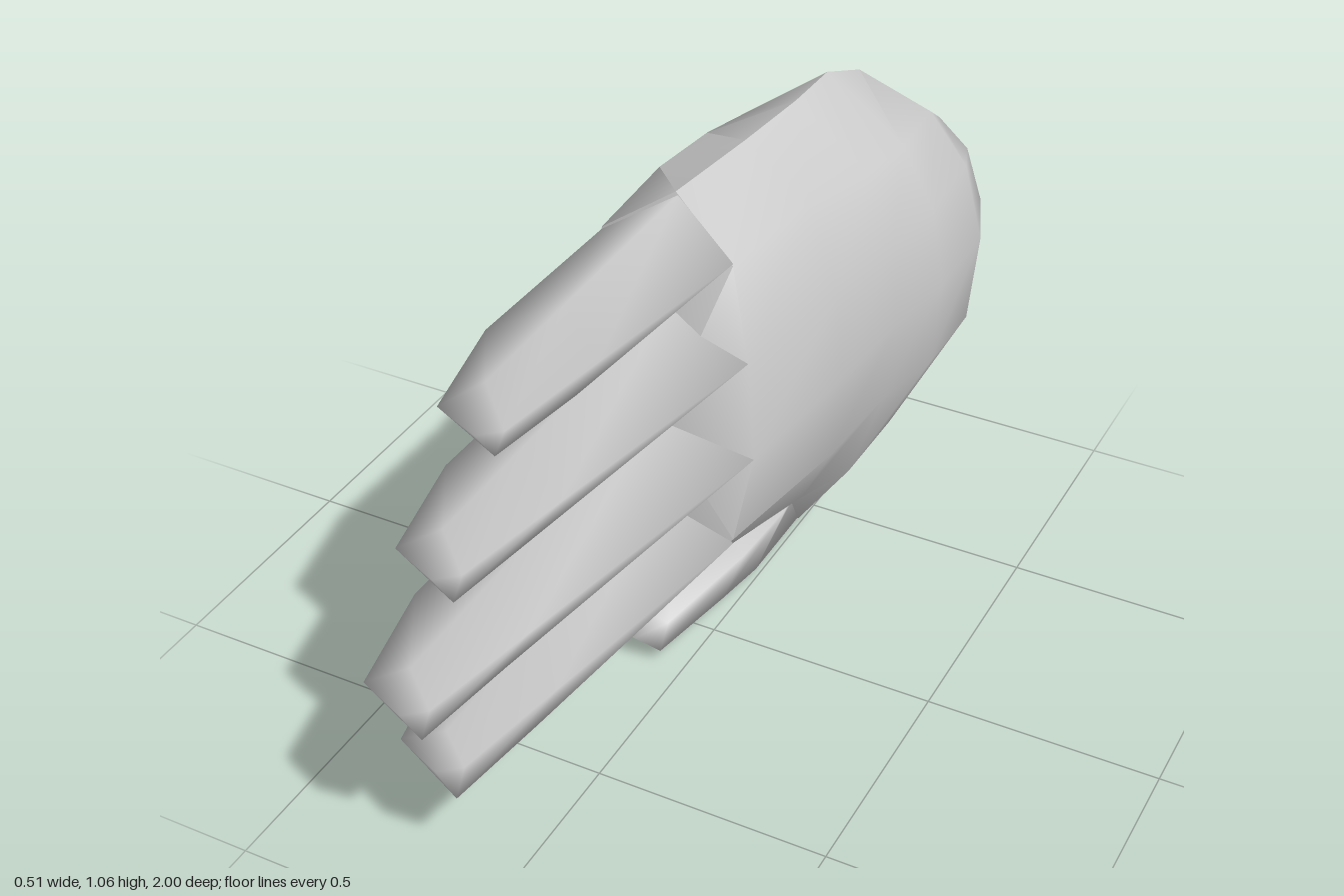
import * as THREE from 'three';
import { toCreasedNormals } from 'three/addons/utils/BufferGeometryUtils.js';

const material = new THREE.MeshStandardMaterial({ color: 0xcccccc });

// Skin a closed body over rings (front to back, clockwise seen from the front),
// closed at each end by a fan to an apex point.
function loft(rings, front, back) {
  const n = rings[0].length;
  const last = (rings.length - 1) * n;
  const points = [...rings.flat(), front, back];
  const a = rings.length * n, b = a + 1;
  const index = [];
  for (let j = 0; j < n; j++) {
    const k = (j + 1) % n;
    index.push(a, k, j);
    for (let i = 0; i < last; i += n) {
      index.push(i + j, i + k, i + n + j, i + k, i + n + k, i + n + j);
    }
    index.push(b, last + j, last + k);
  }
  const geometry = new THREE.BufferGeometry();
  geometry.setAttribute('position', new THREE.Float32BufferAttribute(points.flat(), 3));
  geometry.setIndex(index);
  geometry.computeVertexNormals();
  return geometry;
}

const atZ = (z, ring) => ring.map(([x, y]) => [x, y, z]);

// The knuckle line leans back towards the top
const knuckleZ = (y) => 0.06 - 0.1 * (y - 0.32);

function palmGeometry() {
  const knuckles = [[-0.25, 0.94], [-0.09, 1.055], [0.04, 0.93], [0.085, 0.73], [0.11, 0.52],
    [0.075, 0.32], [0, 0.23], [-0.08, 0.19], [-0.23, 0.3], [-0.25, 0.62]];
  const rings = [
    knuckles.map(([x, y]) => [x, y, knuckleZ(y)]),
    atZ(-0.25, [[-0.255, 0.95], [-0.06, 1.06], [0.08, 0.95], [0.15, 0.76], [0.17, 0.56],
      [0.15, 0.36], [0.08, 0.22], [-0.04, 0.1], [-0.21, 0.12], [-0.24, 0.6]]),
    atZ(-0.44, [[-0.245, 0.94], [-0.04, 1.065], [0.13, 0.94], [0.19, 0.78], [0.21, 0.6],
      [0.185, 0.4], [0.11, 0.18], [-0.01, 0.005], [-0.205, 0.075], [-0.235, 0.58]]),
    atZ(-0.59, [[-0.23, 0.92], [-0.04, 1.062], [0.14, 0.93], [0.215, 0.8], [0.245, 0.62],
      [0.23, 0.42], [0.14, 0.23], [0, 0.1], [-0.19, 0.16], [-0.23, 0.57]]),
    atZ(-0.78, [[-0.18, 0.87], [-0.05, 0.98], [0.12, 0.92], [0.21, 0.81], [0.255, 0.64],
      [0.235, 0.43], [0.15, 0.29], [0.02, 0.24], [-0.13, 0.28], [-0.19, 0.57]]),
    atZ(-0.94, [[-0.1, 0.76], [-0.03, 0.83], [0.08, 0.82], [0.15, 0.76], [0.19, 0.64],
      [0.165, 0.5], [0.1, 0.43], [0.02, 0.42], [-0.07, 0.47], [-0.12, 0.62]]),
  ];
  return toCreasedNormals(loft(rings, [-0.06, 0.6, 0.12], [0.05, 0.63, -1]), 1.05);
}

// Diamond-section finger: y is the ridge height, low/high the neighbouring webs
function fingerGeometry({ y, low, high, tip, baseX }) {
  const end = tip - 0.045, mid = end - 0.25, base = knuckleZ(y);
  const endX = -0.06;
  const midX = THREE.MathUtils.lerp(baseX, endX, (mid - base) / (end - base));
  const rings = [
    [[-0.205, y, end], [-0.1, high - 0.035, end], [endX, y, end + 0.01], [-0.09, low + 0.02, end]],
    [[-0.26, y, mid], [-0.085, high - 0.012, mid], [midX, y, mid], [-0.07, low + 0.004, mid]],
    [[-0.25, y, base], [-0.08, high, base], [baseX, y, base], [-0.06, low, base]],
  ];
  return loft(rings, [-0.1, y, tip], [-0.08, y, base - 0.12]);
}

function thumbGeometry() {
  const rings = [
    atZ(0.15, [[-0.19, 0.1], [-0.12, 0.14], [-0.03, 0.125], [-0.05, 0.04], [-0.19, 0.075]]),
    atZ(-0.06, [[-0.205, 0.13], [-0.12, 0.2], [0.04, 0.18], [-0.01, 0.045], [-0.2, 0.08]]),
    atZ(-0.2, [[-0.2, 0.2], [-0.1, 0.26], [0.07, 0.22], [0, 0.03], [-0.2, 0.08]]),
    atZ(-0.44, [[-0.2, 0.25], [-0.1, 0.3], [0.05, 0.25], [-0.01, 0.01], [-0.2, 0.08]]),
  ];
  return loft(rings, [-0.1, 0.07, 0.17], [-0.08, 0.2, -0.5]);
}

export function createModel() {
  const hand = new THREE.Group();
  hand.name = 'hand';
  const add = (name, geometry) => {
    const mesh = new THREE.Mesh(geometry, material);
    mesh.name = name;
    hand.add(mesh);
  };

  add('palm', palmGeometry());
  add('thumb', thumbGeometry());

  // Fingers from the thumb side up
  const fingers = {
    indexFinger: { y: 0.31, low: 0.19, high: 0.41, tip: 0.91, baseX: 0.075 },
    middleFinger: { y: 0.52, low: 0.41, high: 0.63, tip: 1, baseX: 0.11 },
    ringFinger: { y: 0.73, low: 0.63, high: 0.845, tip: 0.87, baseX: 0.085 },
    littleFinger: { y: 0.935, low: 0.845, high: 1.055, tip: 0.71, baseX: 0.04 },
  };
  for (const [name, spec] of Object.entries(fingers)) add(name, fingerGeometry(spec));

  return hand;
}
